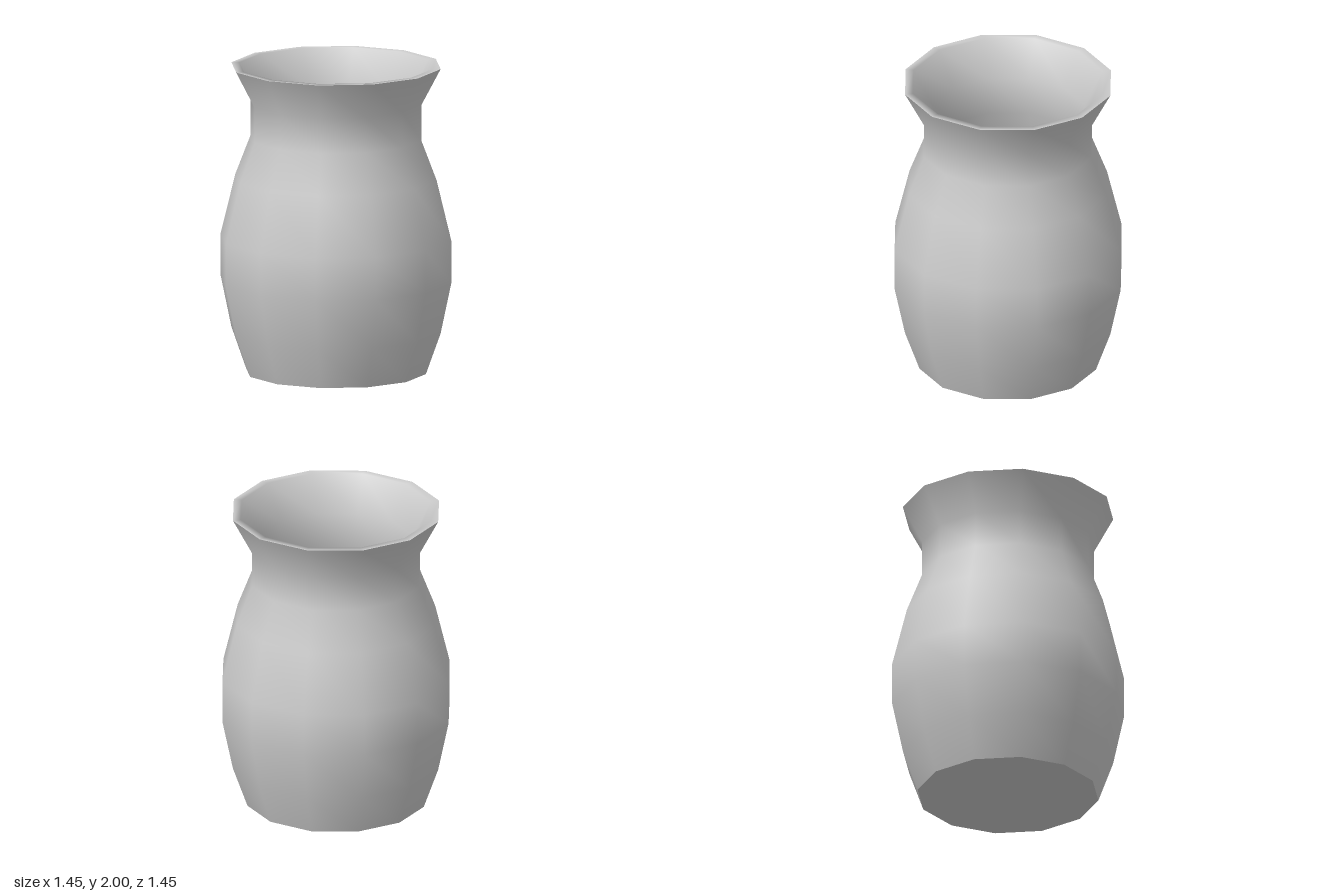
import * as THREE from 'three';

const SIDES = 12;
const TURN = Math.PI / SIDES; // half a step, so flat sides face the axes
const TO_CORNER = 1 / Math.cos(TURN); // flat-side distance to corner radius

// Profiles as [distance to flat side, height]
const OUTER = [
  [0.567, 0], [0.66, 0.27], [0.727, 0.6], [0.727, 0.88],
  [0.635, 1.27], [0.538, 1.53], [0.538, 1.76], [0.66, 2],
];
const INNER = [
  [0.66, 2], [0.61, 2], [0.49, 1.77], [0.49, 1.52], [0.588, 1.25],
  [0.677, 0.87], [0.677, 0.61], [0.612, 0.28], [0.535, 0.05],
];

export function createModel() {
  const vase = new THREE.Group();
  vase.name = 'vase';
  const material = new THREE.MeshStandardMaterial({ color: 0xcccccc });

  const add = (name, geometry) => {
    const mesh = new THREE.Mesh(geometry, material);
    mesh.name = name;
    vase.add(mesh);
    return mesh;
  };
  const wall = (profile) => new THREE.LatheGeometry(
    profile.map(([r, y]) => new THREE.Vector2(r * TO_CORNER, y)), SIDES, TURN);
  const disc = (r, y, up) => new THREE.CircleGeometry(r * TO_CORNER, SIDES, TURN)
    .rotateX(up ? -Math.PI / 2 : Math.PI / 2).translate(0, y, 0);

  // Smooth outside, then lip and inside as one smooth surface
  add('outerWall', wall(OUTER));
  add('lipAndInnerWall', wall(INNER));

  // Flat floor inside and flat base underneath
  add('innerFloor', disc(0.535, 0.05, true));
  add('base', disc(0.567, 0, false));

  return vase;
}
